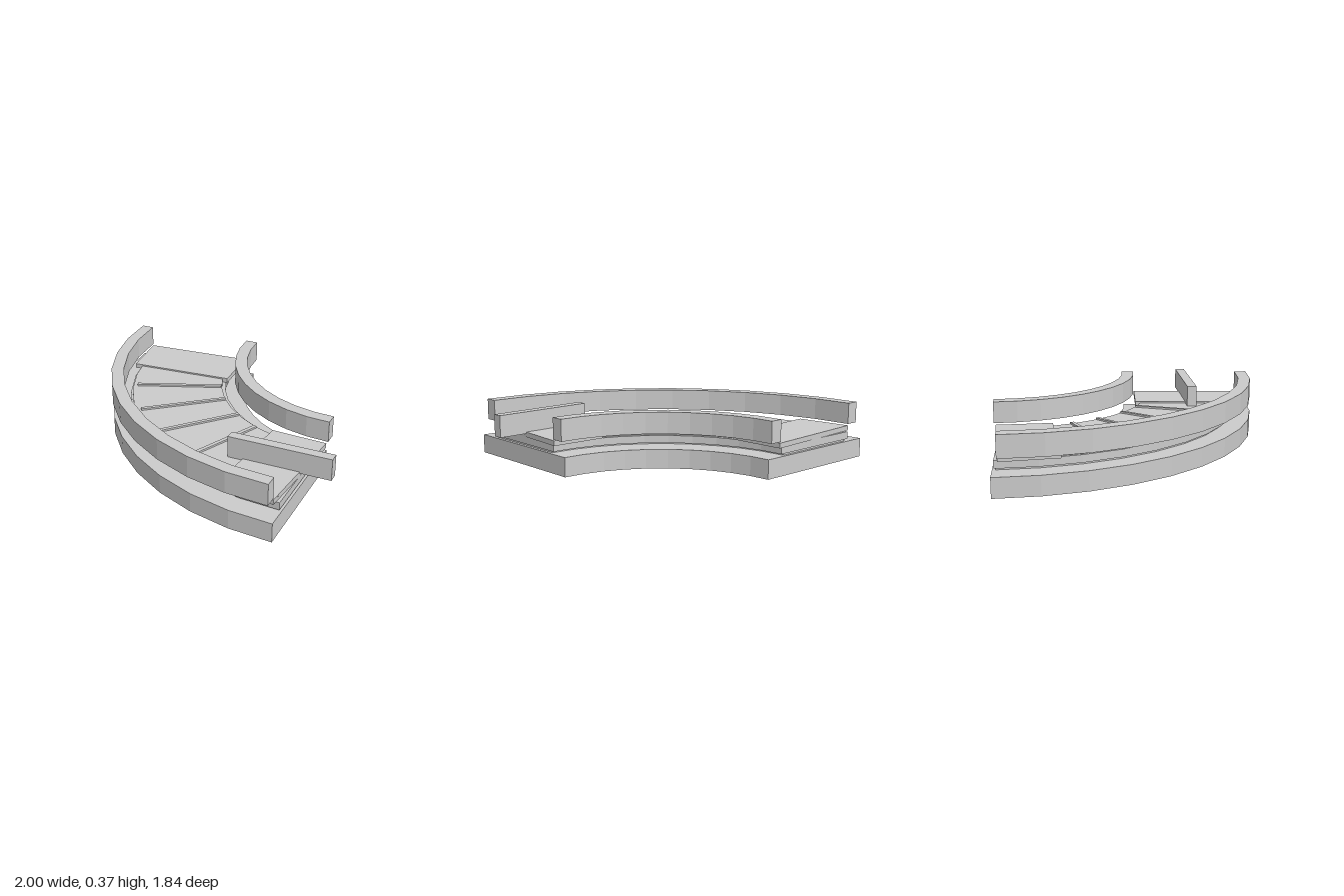
import * as THREE from 'three';

const material = new THREE.MeshStandardMaterial({ color: 0xcccccc, flatShading: true });

// Upright prism from plan points [x, z] between heights y0 and y1
function prism(name, points, y0, y1) {
  const shape = new THREE.Shape(points.map(([x, z]) => new THREE.Vector2(x, -z)));
  const geometry = new THREE.ExtrudeGeometry(shape, { depth: y1 - y0, bevelEnabled: false });
  geometry.rotateX(-Math.PI / 2).translate(0, y0, 0);
  const mesh = new THREE.Mesh(geometry, material);
  mesh.name = name;
  return mesh;
}

// Quarter ring in ten straight facets, sweeping from -x round to +z
function quarterRing(name, cx, cz, inner, outer, y0, y1) {
  const points = [];
  const add = (r, i) => {
    const a = (i / 10) * Math.PI / 2;
    points.push([cx - r * Math.cos(a), cz + r * Math.sin(a)]);
  };
  for (let i = 0; i <= 10; i++) add(outer, i);
  for (let i = 10; i >= 0; i--) add(inner, i);
  return prism(name, points, y0, y1);
}

// Straight bar between two plan points
function bar(name, [x0, z0], [x1, z1], width, y0, y1) {
  const length = Math.hypot(x1 - x0, z1 - z0);
  const mesh = new THREE.Mesh(new THREE.BoxGeometry(length, y1 - y0, width), material);
  mesh.position.set((x0 + x1) / 2, (y0 + y1) / 2, (z0 + z1) / 2);
  mesh.rotation.y = -Math.atan2(z1 - z0, x1 - x0);
  mesh.name = name;
  return mesh;
}

export function createModel() {
  const model = new THREE.Group();
  model.name = 'curvedConveyor';

  // Base and belt body
  model.add(
    quarterRing('base', 0.81, -0.89, 0.88, 1.81, 0, 0.125),
    quarterRing('beltFoot', 0.79, -0.87, 1.02, 1.64, 0.125, 0.138),
    quarterRing('beltBody', 0.8, -0.88, 1.0, 1.67, 0.138, 0.187),
    quarterRing('beltTop', 0.78, -0.86, 1.0, 1.63, 0.187, 0.21)
  );

  // Guard rails
  model.add(
    quarterRing('outerRail', 0.775, -0.855, 1.68, 1.765, 0.23, 0.37),
    quarterRing('innerRail', 0.84, -0.92, 0.9, 0.985, 0.23, 0.37)
  );

  // End plates, mirrored across the diagonal of the bend
  const plate = [[0.46, 0.05], [0.83, 0.07], [0.775, 0.825], [0.41, 0.775]];
  const mirrored = plate.map(([x, z]) => [-z - 0.08, -x - 0.08]);
  model.add(
    prism('frontEndPlate', plate, 0.187, 0.22),
    prism('backEndPlate', mirrored, 0.187, 0.22)
  );

  // Belt slats
  const slats = [
    [[-0.67, -0.19], [-0.12, -0.415]],
    [[-0.46, 0.14], [-0.01, -0.245]],
    [[-0.22, 0.38], [0.165, -0.07]],
    [[0.11, 0.58], [0.335, 0.045]]
  ];
  for (const [a, b] of slats) model.add(bar('slat', a, b, 0.026, 0.205, 0.222));

  // Bar across the front end
  model.add(bar('crossBar', [0.33, 0.44], [1, 0.44], 0.065, 0.21, 0.352));
  return model;
}
